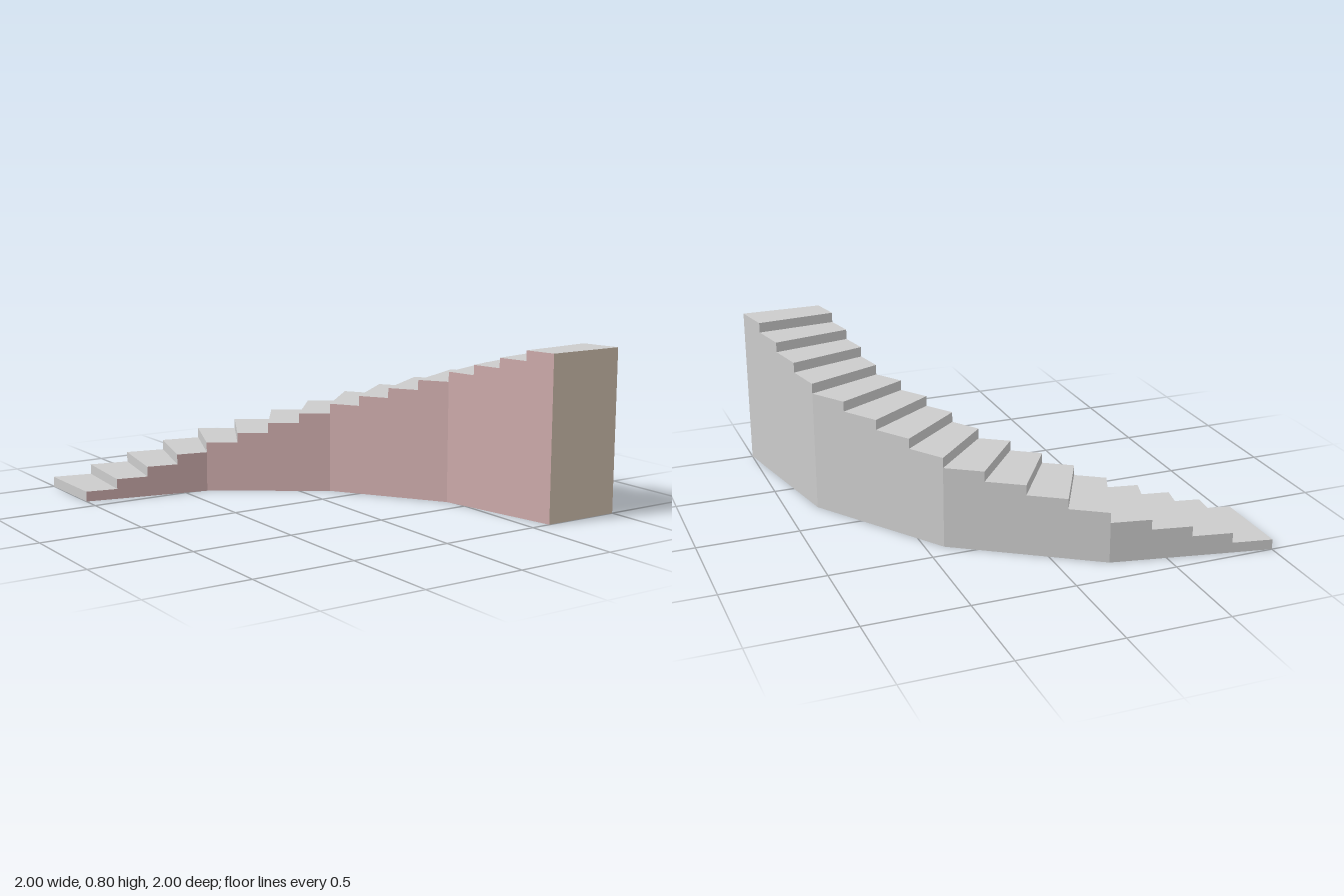
import * as THREE from 'three';

const STEPS = 16, PER_SEGMENT = 4, RISE = 0.05;
const OUTER = 2, INNER = 1.6; // radii about the centre of the turn

// Point on the faceted quarter turn: straight runs between arc corners
function plan(radius, step) {
  const corner = (k) => {
    const a = (k * Math.PI) / 8;
    return new THREE.Vector2(-1 + radius * Math.sin(a), 1 - radius * Math.cos(a));
  };
  const k = Math.min(Math.floor(step / PER_SEGMENT), STEPS / PER_SEGMENT - 1);
  return corner(k).lerp(corner(k + 1), step / PER_SEGMENT - k);
}

const at = (radius, step, y) => {
  const p = plan(radius, step);
  return [p.x, y, p.y];
};

// Flat four-cornered faces, corners counter-clockwise from outside
function quadMesh(name, quads, color) {
  const positions = quads.flatMap(([a, b, c, d]) => [...a, ...b, ...c, ...a, ...c, ...d]);
  const geometry = new THREE.BufferGeometry();
  geometry.setAttribute('position', new THREE.Float32BufferAttribute(positions, 3));
  geometry.computeVertexNormals();
  const material = new THREE.MeshStandardMaterial({ color });
  const mesh = new THREE.Mesh(geometry, material);
  mesh.name = name;
  return mesh;
}

export function createModel() {
  const treads = [], risers = [], outerWall = [], innerWall = [], underside = [];

  for (let i = 0; i < STEPS; i++) {
    const j = i + 1, low = i * RISE, top = j * RISE;
    treads.push([at(INNER, i, top), at(INNER, j, top), at(OUTER, j, top), at(OUTER, i, top)]);
    risers.push([at(OUTER, i, low), at(INNER, i, low), at(INNER, i, top), at(OUTER, i, top)]);
    outerWall.push([at(OUTER, j, 0), at(OUTER, i, 0), at(OUTER, i, top), at(OUTER, j, top)]);
    innerWall.push([at(INNER, i, 0), at(INNER, j, 0), at(INNER, j, top), at(INNER, i, top)]);
    underside.push([at(OUTER, i, 0), at(OUTER, j, 0), at(INNER, j, 0), at(INNER, i, 0)]);
  }

  // Tall wall closing the upper end
  const height = STEPS * RISE;
  const endWall = [[
    at(INNER, STEPS, 0), at(OUTER, STEPS, 0), at(OUTER, STEPS, height), at(INNER, STEPS, height),
  ]];

  const group = new THREE.Group();
  group.name = 'curvedStaircase';
  group.add(
    quadMesh('treads', treads, 0xcccccc),
    quadMesh('risers', risers, 0xcccccc),
    quadMesh('outerWall', outerWall, 0xcccccc),
    quadMesh('innerWall', innerWall, 0xccaaaa),
    quadMesh('endWall', endWall, 0xccbbaa),
    quadMesh('underside', underside, 0xcccccc),
  );
  return group;
}
